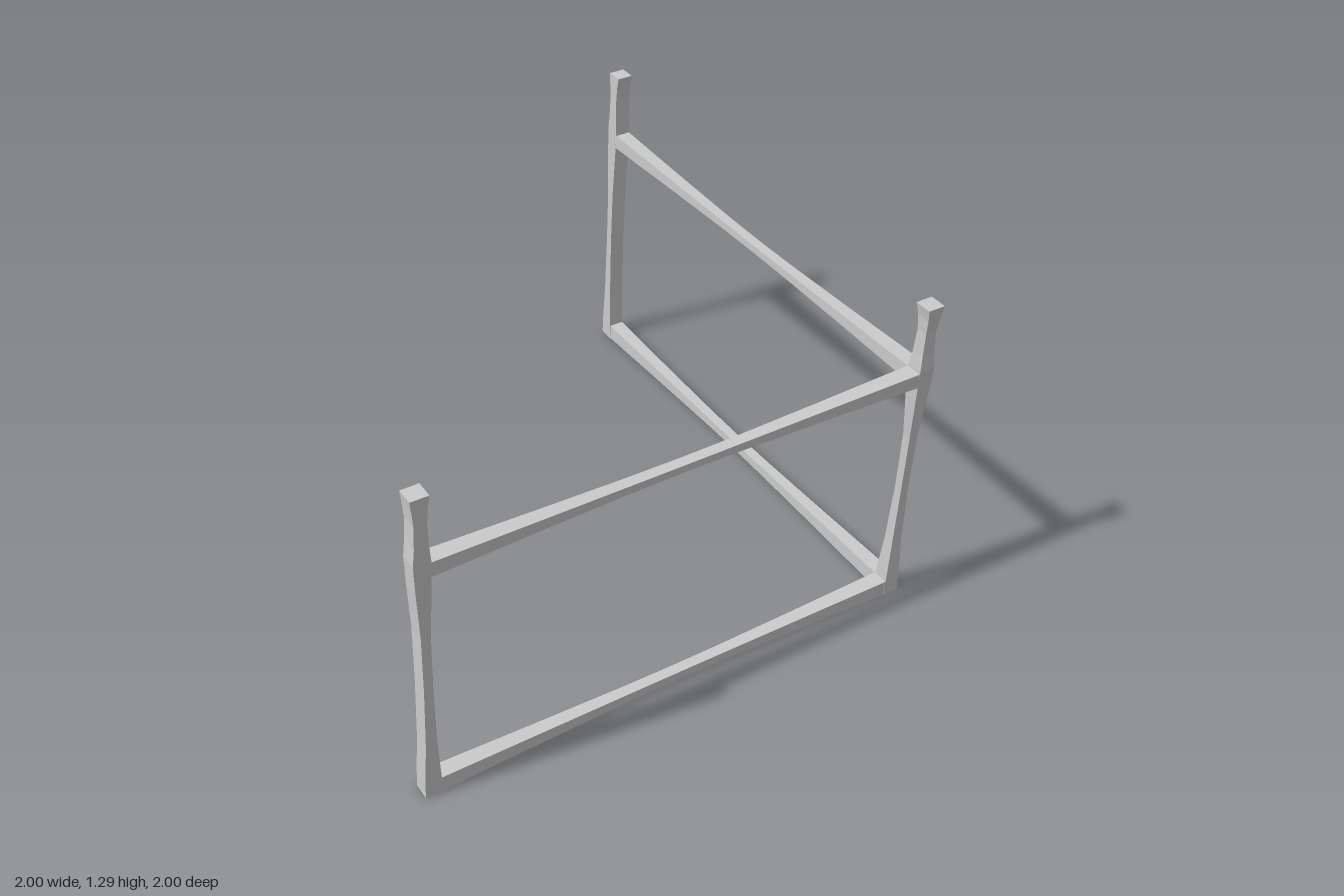
import * as THREE from 'three';

const material = new THREE.MeshStandardMaterial({ color: 0xcccccc, flatShading: true });

// Square bar along one axis; each section is { t, and a [min, max] span for the other two axes }
function taperedBar(name, axis, sections) {
  const n = sections.length - 1;
  const segments = ['x', 'y', 'z'].map(a => (a === axis ? n : 1));
  const geometry = new THREE.BoxGeometry(1, 1, 1, ...segments);
  const pos = geometry.attributes.position;
  const p = new THREE.Vector3();
  for (let i = 0; i < pos.count; i++) {
    p.fromBufferAttribute(pos, i);
    const s = sections[Math.round((p[axis] + 0.5) * n)];
    for (const a of ['x', 'y', 'z']) p[a] = a === axis ? s.t : s[a][p[a] > 0 ? 1 : 0];
    pos.setXYZ(i, p.x, p.y, p.z);
  }
  geometry.computeVertexNormals();
  const mesh = new THREE.Mesh(geometry, material);
  mesh.name = name;
  return mesh;
}

// Post heights with the span of a carved side: waisted below and above the upper rail
const postProfile = [
  [0, 0.935, 1], [0.07, 0.938, 0.999], [0.25, 0.948, 0.99], [0.5, 0.953, 0.986],
  [0.74, 0.952, 0.987], [0.92, 0.942, 0.996], [1.04, 0.938, 1], [1.1, 0.943, 0.994],
  [1.19, 0.946, 0.99], [1.25, 0.942, 0.995], [1.295, 0.934, 1],
];
const span = (sign, lo, hi) => (sign > 0 ? [lo, hi] : [-hi, -lo]);

function post(name, sx, sz, carveX, carveZ) {
  return taperedBar(name, 'y', postProfile.map(([t, lo, hi]) => ({
    t,
    x: carveX ? span(sx, lo, hi) : span(sx, 0.936, 1),
    z: carveZ ? span(sz, lo, hi) : span(sz, 0.936, 1),
  })));
}

// Rails thin out toward the middle of their length
const stations = [-0.96, -0.55, -0.2, 0, 0.2, 0.55, 0.96];
const thinning = [0, 0.55, 0.92, 1, 0.92, 0.55, 0];

function rail(name, axis, endY, midY) {
  const across = axis === 'x' ? 'z' : 'x';
  return taperedBar(name, axis, stations.map((t, i) => {
    const blend = (end, mid) => end.map((e, k) => THREE.MathUtils.lerp(e, mid[k], thinning[i]));
    return { t, y: blend(endY, midY), [across]: blend([0.936, 0.999], [0.945, 0.985]) };
  }));
}

export function createModel() {
  const group = new THREE.Group();
  group.name = 'cornerFence';

  group.add(
    post('leftCornerPost', 1, 1, true, true),
    post('rightEndPost', -1, 1, true, false),
    post('backEndPost', 1, -1, false, true),
  );

  // Two rails on each of the two fence sides
  for (const [side, axis] of [['front', 'x'], ['left', 'z']]) {
    group.add(
      rail(side + 'LowerRail', axis, [0.001, 0.067], [0.017, 0.053]),
      rail(side + 'UpperRail', axis, [0.974, 1.033], [0.988, 1.017]),
    );
  }
  return group;
}
